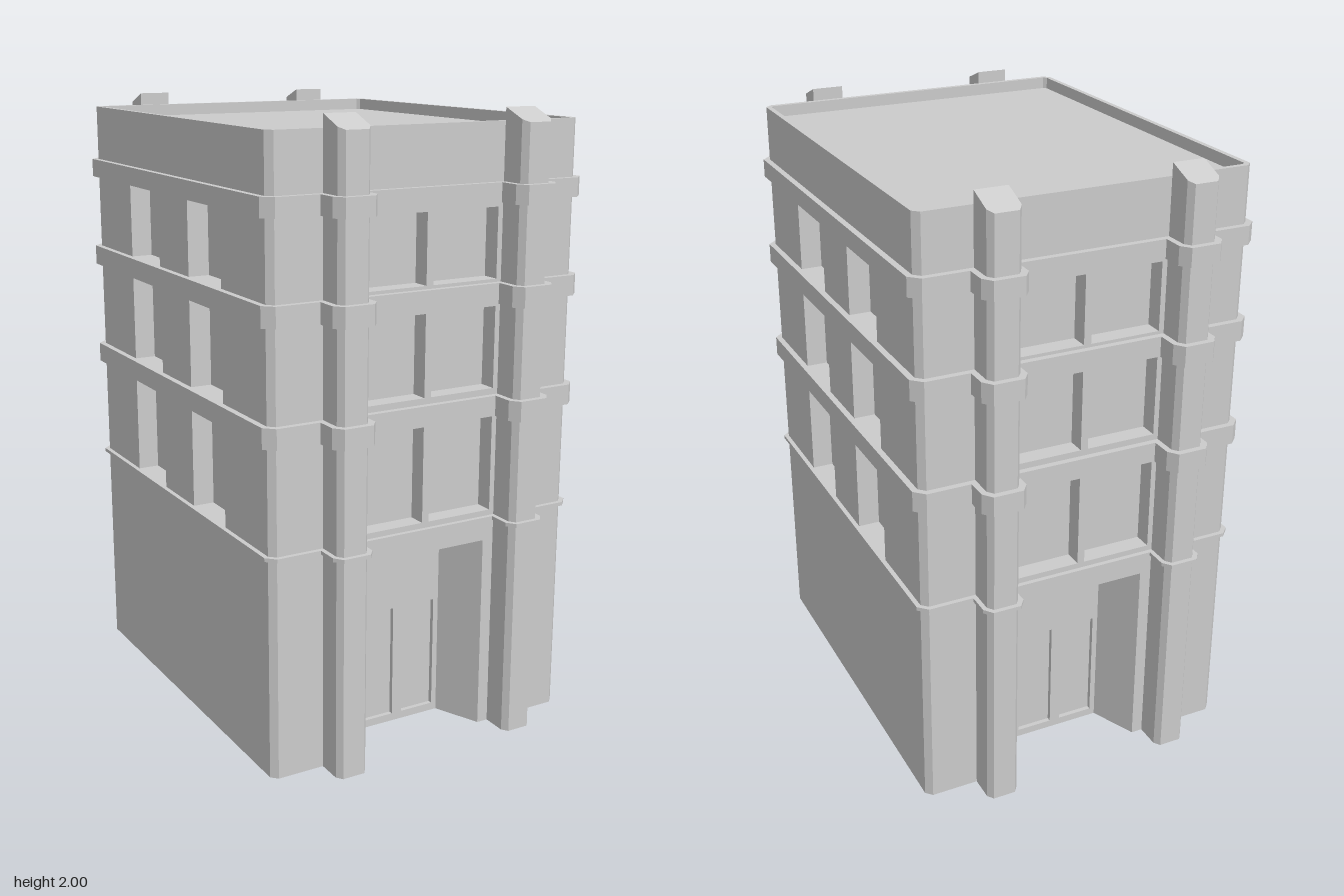
import * as THREE from 'three';

const W = 0.54, D = 0.655, C = 0.02;          // half width, half depth, corner chamfer
const PIL = { a: 0.26, b: 0.365, z: 0.755 };  // pilaster sides and face
const ROOF = 1.92, TOP = 1.96;
const FLOORS = [[0.722, 1.055], [1.12, 1.41], [1.475, 1.72]];
const mat = new THREE.MeshStandardMaterial({ color: 0xcccccc, flatShading: true, side: THREE.DoubleSide });

function add(parent, name, geo) {
  const m = new THREE.Mesh(geo, mat);
  m.name = name;
  parent.add(m);
  return m;
}

// Surface from a list of quads, corners counter-clockwise seen from outside
function quads(list) {
  const p = [];
  for (const [a, b, c, d] of list) p.push(...a, ...b, ...c, ...a, ...c, ...d);
  const g = new THREE.BufferGeometry();
  g.setAttribute('position', new THREE.Float32BufferAttribute(p, 3));
  g.computeVertexNormals();
  return g;
}

const poly = (pts, T = THREE.Shape) => new T(pts.map(([x, y]) => new THREE.Vector2(x, y)));
const rect = ([x0, x1, y0, y1]) => [[x0, y0], [x1, y0], [x1, y1], [x0, y1]];

// Flat wall in a z plane, with rectangular openings
function wall(parent, name, pts, z, holes = []) {
  const s = poly(pts);
  for (const h of holes) s.holes.push(poly(rect(h).reverse(), THREE.Path));
  add(parent, name, new THREE.ShapeGeometry(s).translate(0, 0, z));
}

// Reveals of an opening; the jambs may splay, the sill and back pane are optional
function recess(parent, name, [x0, x1, y0, y1], z, depth, { splay = 0, sill = true, pane = true } = {}) {
  const b = z - depth, u0 = x0 + splay, u1 = x1 - splay;
  const q = [
    [[x0, y0, z], [u0, y0, b], [u0, y1, b], [x0, y1, z]],
    [[u1, y0, b], [x1, y0, z], [x1, y1, z], [u1, y1, b]],
    [[u0, y1, b], [u1, y1, b], [x1, y1, z], [x0, y1, z]]
  ];
  if (sill) q.push([[x0, y0, z], [x1, y0, z], [u1, y0, b], [u0, y0, b]]);
  if (pane) q.push([[u0, y0, b], [u1, y0, b], [u1, y1, b], [u0, y1, b]]);
  add(parent, name, quads(q));
}

// Plan outline grown by o, with or without the pilasters
function outline(o, pilasters = true) {
  const c = C + o * 0.6, w = W + o, d = D + o, z = PIL.z + o, a = PIL.a - o, b = PIL.b + o;
  const q = [[w, d - c], [w - c, d]];
  if (pilasters) q.push([b, d], [b, z - c], [b - c * 0.75, z], [a + c * 0.75, z], [a, z - c], [a, d]);
  const half = [...q, ...q.map(([x, y]) => [-x, y]).reverse()];
  return [...half, ...half.map(([x, y]) => [-x, -y])];
}

// Horizontal ring between two plan outlines
function ring(parent, name, outer, inner, y0, y1) {
  const s = poly(outer);
  s.holes.push(poly([...inner].reverse(), THREE.Path));
  const g = new THREE.ExtrudeGeometry(s, { depth: y1 - y0, bevelEnabled: false });
  add(parent, name, g.rotateX(-Math.PI / 2).translate(0, y0, 0));
}

// Hollow chamfered pilaster with a sloping cap
function pilaster(parent, side) {
  const { a, b, z } = PIL, k = 0.015;
  const topY = v => TOP + 0.04 * (z - v) / (z - D);
  const p = [[a, D], [a, z - C], [a + k, z], [b - k, z], [b, z - C], [b, D]];
  const q = [];
  for (let i = 0; i < 5; i++) {
    const [x0, z0] = p[i], [x1, z1] = p[i + 1];
    q.push([[x0, 0, z0], [x1, 0, z1], [x1, topY(z1), z1], [x0, topY(z0), z0]]);
  }
  q.push([[b, ROOF, D], [a, ROOF, D], [a, topY(D), D], [b, topY(D), D]]);
  const t = p.map(([x, v]) => [x, topY(v), v]);
  q.push([t[0], t[1], t[4], t[5]], [t[1], t[2], t[3], t[4]]);
  const g = quads(q);
  if (side < 0) {
    // Mirror and restore the corner order
    const m = g.attributes.position;
    for (let i = 0; i < m.count; i += 3) {
      const v = [0, 2, 1].map(j => [-m.getX(i + j), m.getY(i + j), m.getZ(i + j)]);
      v.forEach((c, j) => m.setXYZ(i + j, ...c));
    }
    g.computeVertexNormals();
  }
  add(parent, 'pilaster', g);
}

// Entrance front: recessed doorway, paired windows and two pilasters
function entranceFacade() {
  const f = new THREE.Group();
  f.name = 'entranceFacade';
  const windows = [];
  for (const [y0, y1] of [[0.74, 1.05], [1.14, 1.4], [1.485, 1.705]]) {
    windows.push([-0.243, -0.012, y0, y1], [0.012, 0.243, y0, y1]);
  }
  const e = 0.222, h = 0.64, a = PIL.a;
  wall(f, 'frontWall', [[-a, 0], [-e, 0], [-e, h], [e, h], [e, 0], [a, 0], [a, ROOF], [-a, ROOF]], D, windows);
  for (const w of windows) recess(f, 'frontWindow', w, D, 0.06);
  for (const s of [-1, 1]) {
    const x = [s * PIL.b, s * (W - C)].sort((m, n) => m - n);
    wall(f, 'frontSidePanel', rect([...x, 0, ROOF]), D);
    pilaster(f, s);
  }
  // Doorway
  recess(f, 'entranceRecess', [-e, e, 0, h], D, 0.15, { splay: 0.066, sill: false, pane: false });
  const doors = [[-0.138, -0.018, 0.025, 0.4], [0.018, 0.138, 0.025, 0.4]];
  wall(f, 'doorWall', rect([-0.156, 0.156, 0, h]), D - 0.15, doors);
  for (const d of doors) recess(f, 'doorPanel', d, D - 0.15, 0.015);
  return f;
}

// Long side: plain base and two window bays per floor
function sideFacade() {
  const f = new THREE.Group();
  f.name = 'sideFacade';
  const windows = [];
  for (const [y0, y1] of FLOORS) windows.push([-0.348, -0.113, y0, y1], [0.113, 0.348, y0, y1]);
  const d = D - C;
  wall(f, 'sideWall', rect([-d, d, 0, ROOF]), W, windows);
  for (const w of windows) recess(f, 'sideWindow', w, W, 0.07);
  return f;
}

export function createModel() {
  const model = new THREE.Group();
  model.name = 'building';

  for (const turn of [0, Math.PI]) {
    const front = entranceFacade(), side = sideFacade();
    front.rotation.y = turn;
    side.rotation.y = turn + Math.PI / 2;
    model.add(front, side);
  }

  // Chamfered corners
  const corners = [];
  for (const s of [1, -1]) {
    for (const t of [1, -1]) {
      let p = [s * (W - C), t * D], q = [s * W, t * (D - C)];
      if (s * t < 0) [p, q] = [q, p];
      corners.push([[p[0], 0, p[1]], [q[0], 0, q[1]], [q[0], ROOF, q[1]], [p[0], ROOF, p[1]]]);
    }
  }
  add(model, 'cornerChamfers', quads(corners));

  // Cornice and floor bands
  ring(model, 'cornice', outline(0.015), outline(-0.001), 0.71, 0.722);
  for (const [y0, y1] of [[1.055, 1.12], [1.41, 1.475], [1.72, 1.78]]) {
    ring(model, 'floorBand', outline(0.02), outline(-0.001), y0, y1);
  }

  // Parapet and roof
  ring(model, 'parapet', outline(0, false), outline(-0.017, false), ROOF, TOP);
  const roof = new THREE.ShapeGeometry(poly(outline(-0.001, false)));
  add(model, 'roof', roof.rotateX(-Math.PI / 2).translate(0, ROOF + 0.002, 0));
  return model;
}
